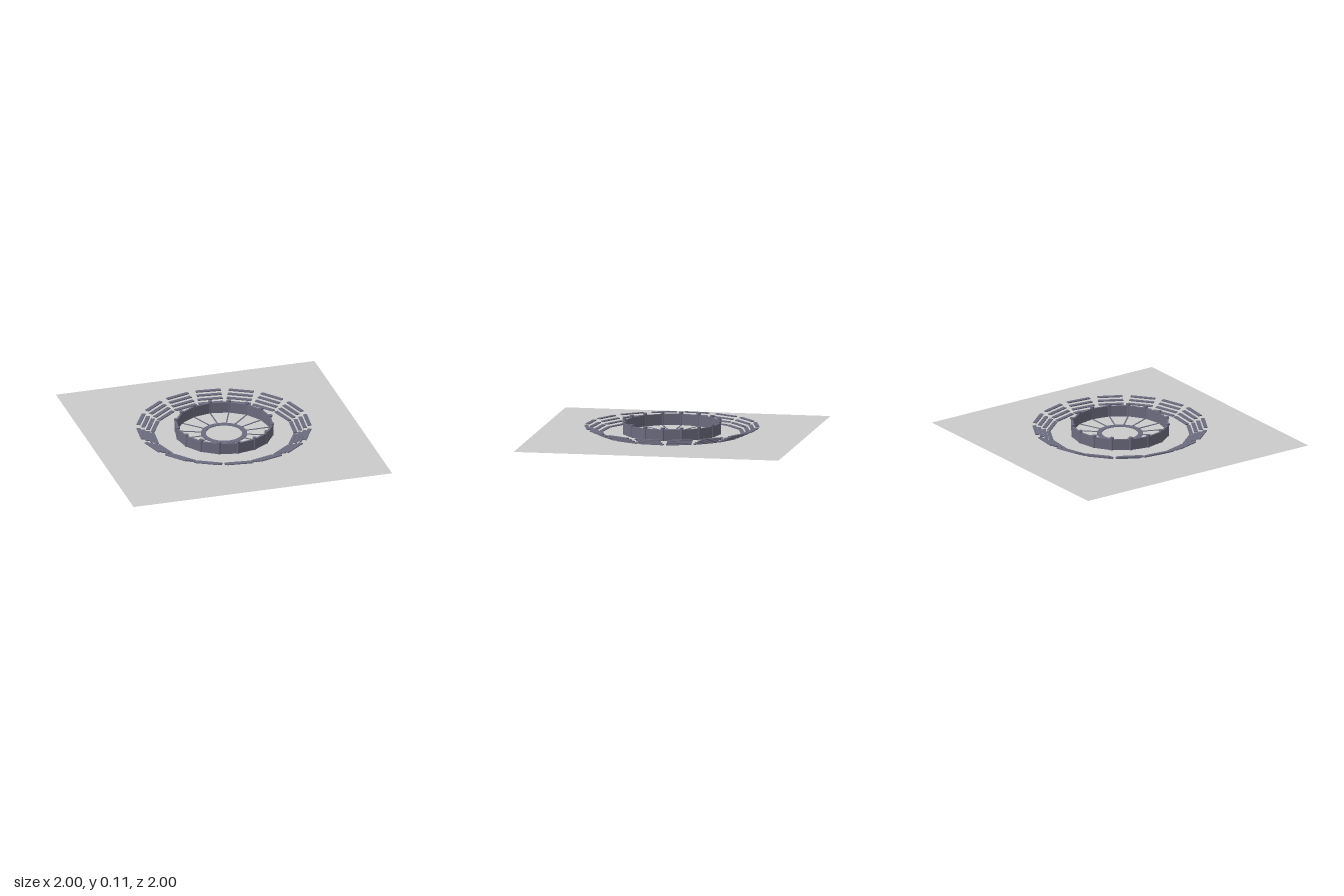
import * as THREE from 'three';

const COUNT = 16;
const STEP = (Math.PI * 2) / COUNT;
const slate = new THREE.MeshStandardMaterial({ color: 0x6c6c80 });
const grey = new THREE.MeshStandardMaterial({ color: 0xcccccc, side: THREE.DoubleSide });

function add(parent, name, geometry, x, y, z, material = slate) {
  const mesh = new THREE.Mesh(geometry, material);
  mesh.name = name;
  mesh.position.set(x, y, z);
  parent.add(mesh);
  return mesh;
}

// Repeats a part around the centre; build() lays it out on the -z side
function around(parent, name, offset, build) {
  for (let i = 0; i < COUNT; i++) {
    const sector = new THREE.Group();
    sector.name = name;
    sector.rotation.y = -(offset + i * STEP);
    build(sector);
    parent.add(sector);
  }
}

export function createModel() {
  const model = new THREE.Group();
  model.name = 'arena';

  // Flat square ground
  const ground = new THREE.PlaneGeometry(2, 2).rotateX(-Math.PI / 2);
  add(model, 'ground', ground, 0, 0, 0, grey);

  // Flat ring marked in the middle of the floor
  const outline = new THREE.Shape().absarc(0, 0, 0.172, 0, Math.PI * 2);
  outline.holes.push(new THREE.Path().absarc(0, 0, 0.135, 0, Math.PI * 2, true));
  const ring = new THREE.ExtrudeGeometry(outline, { depth: 0.005, bevelEnabled: false, curveSegments: 48 });
  add(model, 'centreRing', ring.rotateX(-Math.PI / 2), 0, 0.005, 0);

  // Floor spokes and fence posts with caps
  const R = 0.358;
  const spoke = new THREE.BoxGeometry(0.009, 0.004, R - 0.165);
  const post = new THREE.CylinderGeometry(0.011, 0.011, 0.09, 12);
  const cap = new THREE.CylinderGeometry(0.016, 0.016, 0.012, 12);
  around(model, 'postAndSpoke', 0, (s) => {
    add(s, 'spoke', spoke, 0, 0.008, -(R + 0.165) / 2);
    add(s, 'post', post, 0, 0.053, -R);
    add(s, 'postCap', cap, 0, 0.101, -R);
  });

  // Solid wall panels between the posts
  const apothem = R * Math.cos(STEP / 2);
  const panel = new THREE.BoxGeometry(2 * R * Math.sin(STEP / 2), 0.083, 0.015);
  around(model, 'wall', STEP / 2, (s) => add(s, 'wallPanel', panel, 0, 0.05, -apothem));

  // Four rising rows of benches in each outer sector
  const bench = new THREE.BoxGeometry(0.187, 0.007, 0.028);
  around(model, 'stand', THREE.MathUtils.degToRad(6), (s) => {
    for (let row = 0; row < 4; row++) {
      add(s, 'bench', bench, 0, 0.01 + row * 0.0163, -(0.521 + row * 0.0358));
    }
  });

  return model;
}
